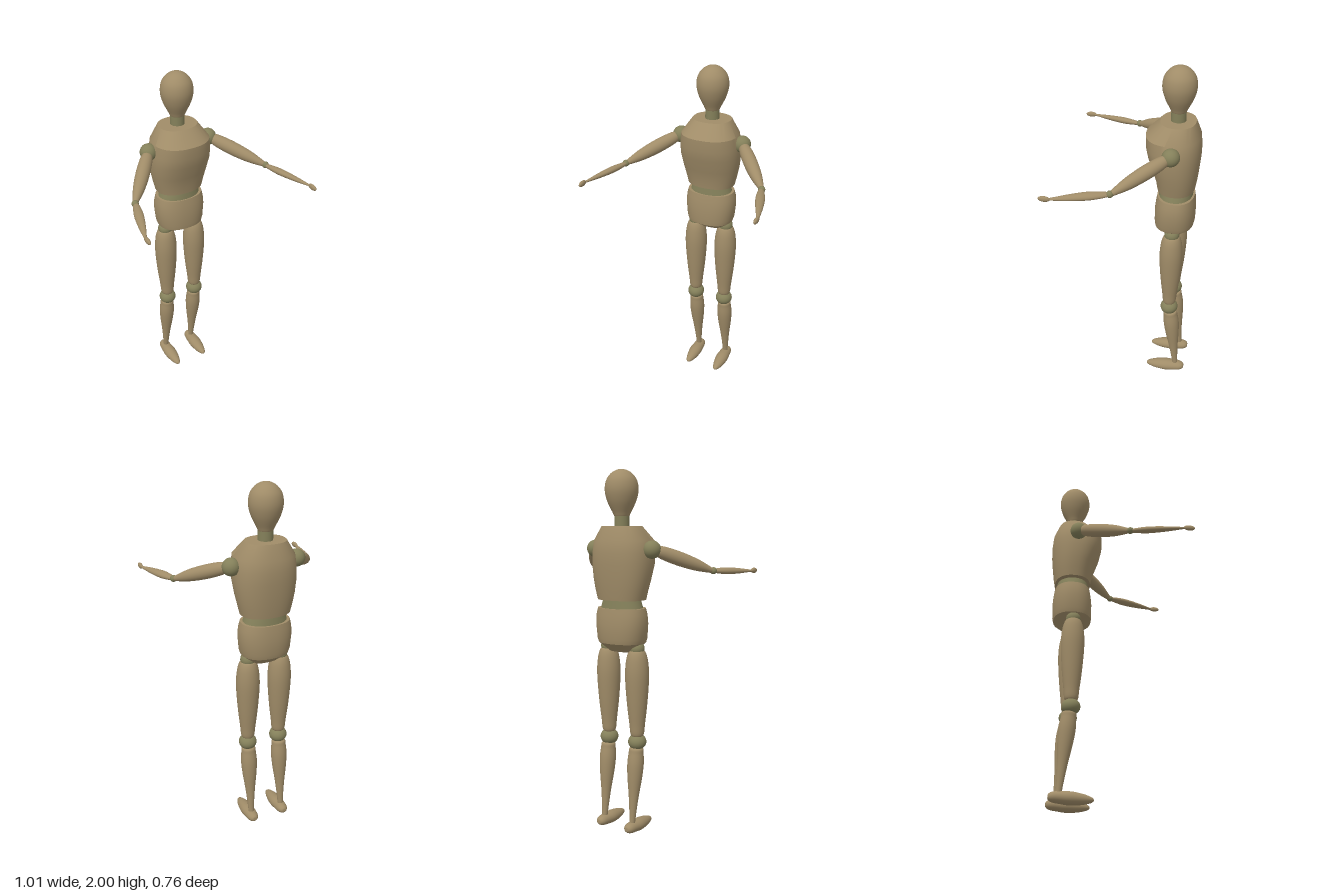
import * as THREE from 'three';
import { toCreasedNormals } from 'three/addons/utils/BufferGeometryUtils.js';

const wood = new THREE.MeshStandardMaterial({ color: 0xa08c68 });
const joint = new THREE.MeshStandardMaterial({ color: 0x84805a });
const UP = new THREE.Vector3(0, 1, 0);

function add(parent, name, geometry, material) {
  const mesh = new THREE.Mesh(geometry, material);
  mesh.name = name;
  parent.add(mesh);
  return mesh;
}

// Closed body through superelliptic rings, bottom to top: [y, halfWidth, zFront, zBack]
function loft(rings, power = 2.3, sides = 48) {
  const pos = [], index = [];
  const e = 2 / power;
  const bend = (v) => Math.sign(v) * Math.abs(v) ** e;
  for (const [y, w, front, back] of rings) {
    for (let i = 0; i < sides; i++) {
      const a = (i / sides) * Math.PI * 2;
      pos.push(w * bend(Math.cos(a)), y, (front + back) / 2 + ((front - back) / 2) * bend(Math.sin(a)));
    }
  }
  const last = rings.length - 1;
  for (let r = 0; r < last; r++) {
    for (let i = 0; i < sides; i++) {
      const a = r * sides + i, b = r * sides + ((i + 1) % sides);
      index.push(a, a + sides, b, b, a + sides, b + sides);
    }
  }
  // End caps
  for (const r of [0, last]) {
    const [y, , front, back] = rings[r];
    const centre = pos.length / 3;
    pos.push(0, y, (front + back) / 2);
    for (let i = 0; i < sides; i++) {
      const a = r * sides + i, b = r * sides + ((i + 1) % sides);
      if (r === 0) index.push(centre, a, b);
      else index.push(centre, b, a);
    }
  }
  const g = new THREE.BufferGeometry();
  g.setAttribute('position', new THREE.Float32BufferAttribute(pos, 3));
  g.setIndex(index);
  return toCreasedNormals(g, 0.5);
}

// Turned wooden piece from point a to point b; profile is [fraction, radius]
function turned(parent, name, a, b, profile, material = wood, flat = 1) {
  const start = new THREE.Vector3(...a), dir = new THREE.Vector3(...b).sub(start);
  const length = dir.length();
  const curve = new THREE.SplineCurve(profile.map(([t, r]) => new THREE.Vector2(r, t * length)));
  const points = curve.getPoints(40).map((p) => new THREE.Vector2(Math.max(p.x, 0), p.y));
  const mesh = add(parent, name, new THREE.LatheGeometry(points, 32), material);
  mesh.position.copy(start);
  mesh.quaternion.setFromUnitVectors(UP, dir.normalize());
  mesh.scale.z = flat;
  return mesh;
}

function ball(parent, name, [x, y, z], r, material = joint, scale = [1, 1, 1]) {
  const mesh = add(parent, name, new THREE.SphereGeometry(r, 32, 20), material);
  mesh.position.set(x, y, z);
  mesh.scale.set(...scale);
  return mesh;
}

function createArm(s) {
  const arm = new THREE.Group();
  arm.name = s > 0 ? 'leftArm' : 'rightArm';
  ball(arm, 'shoulderJoint', [s * 0.188, 1.58, -0.24], 0.048);
  turned(arm, 'upperArm', [s * 0.2, 1.577, -0.225], [s * 0.405, 1.464, 0.025],
    [[0, 0], [0.01, 0.022], [0.12, 0.034], [0.4, 0.038], [0.7, 0.032], [0.92, 0.019], [0.99, 0.012], [1, 0]]);
  ball(arm, 'elbowJoint', [s * 0.407, 1.464, 0.03], 0.019);
  turned(arm, 'forearm', [s * 0.407, 1.463, 0.035], [s * 0.497, 1.452, 0.33],
    [[0, 0], [0.01, 0.013], [0.15, 0.021], [0.35, 0.025], [0.65, 0.019], [0.92, 0.009], [1, 0.007]], wood, 0.72);
  ball(arm, 'hand', [s * 0.496, 1.453, 0.345], 0.032, wood, [0.34, 0.48, 1]);
  return arm;
}

function createLeg(s) {
  const leg = new THREE.Group();
  leg.name = s > 0 ? 'leftLeg' : 'rightLeg';
  const x = s * 0.097;
  ball(leg, 'hipJoint', [x, 1.045, -0.25], 0.042);
  turned(leg, 'thigh', [x, 0.555, -0.25], [x, 1.037, -0.25],
    [[0, 0], [0.005, 0.034], [0.15, 0.044], [0.42, 0.058], [0.7, 0.066], [0.88, 0.06], [0.98, 0.046], [1, 0.03], [1, 0]]);
  ball(leg, 'kneeJoint', [x, 0.521, -0.25], 0.051, joint, [1, 0.88, 1]);
  turned(leg, 'shin', [x, 0.06, -0.301], [x, 0.49, -0.258],
    [[0, 0.016], [0.12, 0.019], [0.35, 0.028], [0.6, 0.041], [0.78, 0.046], [0.92, 0.042], [0.99, 0.036], [1, 0]]);
  turned(leg, 'foot', [x, 0.038, -0.356], [x, 0.026, -0.12],
    [[0, 0], [0.01, 0.016], [0.1, 0.03], [0.3, 0.036], [0.5, 0.039], [0.75, 0.031], [0.93, 0.018], [0.99, 0.008], [1, 0]], wood, 0.9);
  return leg;
}

export function createModel() {
  const model = new THREE.Group();
  model.name = 'jointedWoodenFigure';

  // Egg-shaped head on a short neck
  turned(model, 'head', [0, 1.745, -0.25], [0, 2, -0.25],
    [[0, 0], [0.01, 0.034], [0.12, 0.05], [0.34, 0.077], [0.56, 0.09], [0.76, 0.083], [0.9, 0.059], [0.975, 0.029], [1, 0]]);
  const neck = add(model, 'neck', new THREE.CylinderGeometry(0.04, 0.04, 0.08, 32), joint);
  neck.position.set(0, 1.725, -0.25);

  // Chest with sloped shoulders
  add(model, 'chest', loft([
    [1.31, 0.138, -0.15, -0.357], [1.36, 0.15, -0.142, -0.365], [1.42, 0.163, -0.125, -0.372],
    [1.5, 0.173, -0.097, -0.379], [1.56, 0.172, -0.084, -0.38], [1.625, 0.163, -0.082, -0.374],
    [1.703, 0.11, -0.157, -0.344],
  ]), wood);

  // Waist insert
  add(model, 'waist', loft([[1.255, 0.126, -0.158, -0.348], [1.315, 0.105, -0.164, -0.342]], 2.1), joint);

  // Pelvis with a tapered underside
  add(model, 'pelvis', loft([
    [1.025, 0.075, -0.215, -0.295], [1.075, 0.133, -0.142, -0.358], [1.1, 0.141, -0.139, -0.364],
    [1.18, 0.149, -0.14, -0.366], [1.23, 0.146, -0.146, -0.362], [1.265, 0.137, -0.152, -0.357],
  ]), wood);

  for (const s of [1, -1]) model.add(createArm(s), createLeg(s));
  return model;
}
